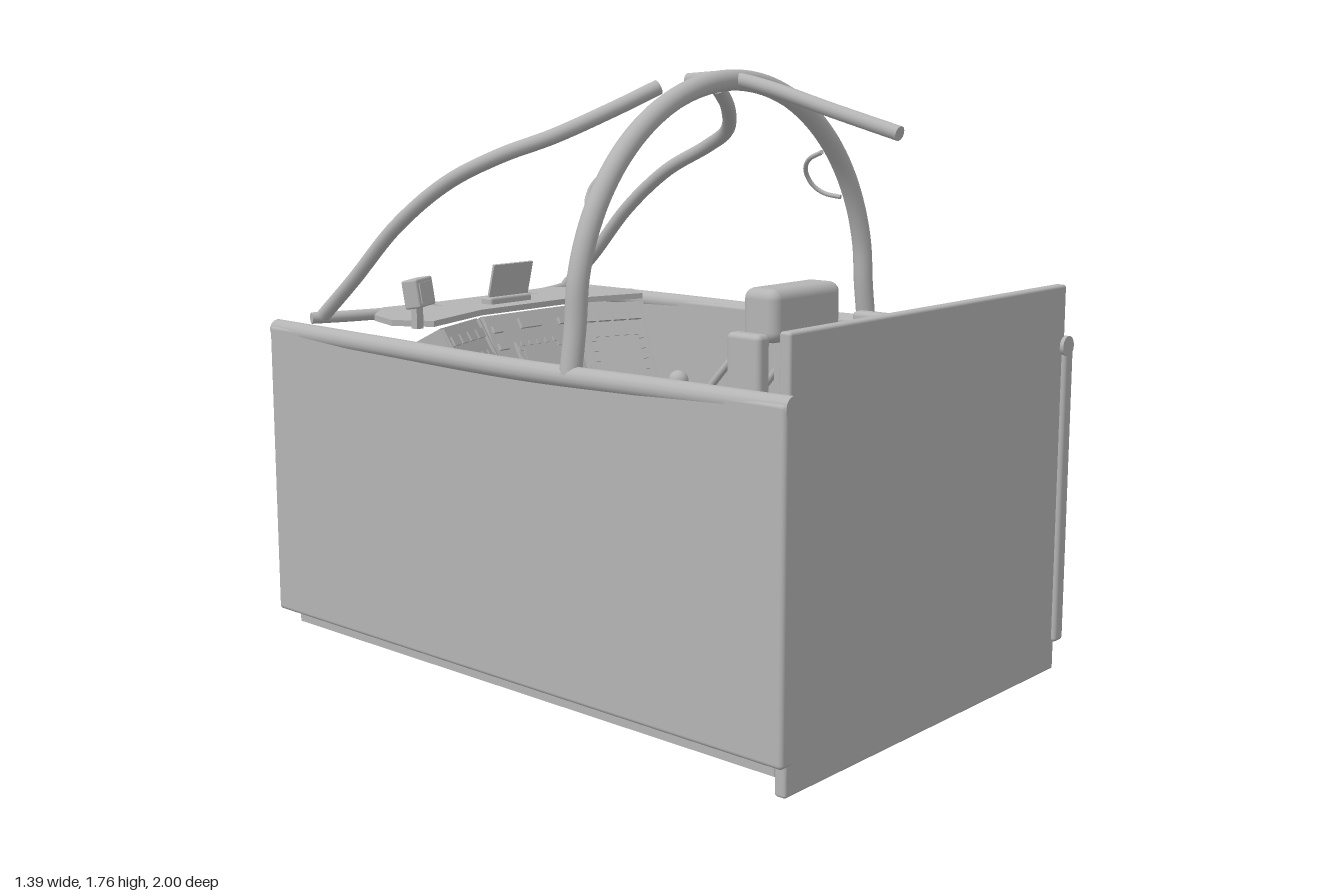
import * as THREE from 'three';
import { RoundedBoxGeometry } from 'three/addons/geometries/RoundedBoxGeometry.js';

export function createModel() {
  const model = new THREE.Group();
  const grey = new THREE.MeshStandardMaterial({ color: 0xb4b4b4 });
  grey.name = 'plain grey';

  const add = (name, geo, x = 0, y = 0, z = 0, parent = model) => {
    const mesh = new THREE.Mesh(geo, grey);
    mesh.name = name;
    mesh.position.set(x, y, z);
    parent.add(mesh);
    return mesh;
  };
  const box = (name, w, h, d, x, y, z, parent) =>
    add(name, new THREE.BoxGeometry(w, h, d), x, y, z, parent);
  const soft = (name, w, h, d, r, x, y, z, parent) =>
    add(name, new RoundedBoxGeometry(w, h, d, 3, r), x, y, z, parent);

  // Round bar along a smooth path, with closed ends
  const bar = (name, points, r, segments = 48) => {
    const path = new THREE.CatmullRomCurve3(points.map(p => new THREE.Vector3(...p)));
    const tube = add(name, new THREE.TubeGeometry(path, segments, r, 14), 0, 0, 0);
    for (const t of [0, 1]) {
      const cap = add(name + 'Cap', new THREE.CircleGeometry(r, 14), 0, 0, 0, tube);
      const dir = path.getTangentAt(t).multiplyScalar(t ? 1 : -1);
      cap.position.copy(path.getPointAt(t));
      cap.quaternion.setFromUnitVectors(new THREE.Vector3(0, 0, 1), dir);
    }
    return tube;
  };

  // Tub: floor, front board and side walls with bowed rails
  box('floor', 1.29, 0.035, 1.89, 0, 0.065, 0.005);
  soft('frontBoard', 1.3, 1.15, 0.035, 0.008, 0, 0.575, 0.97);
  for (const s of [1, -1]) {
    soft('sideWall', 0.05, 0.9, 2, 0.012, s * 0.658, 0.535, 0);
    bar('wallRail', [[s * 0.65, 0.972, 1], [s * 0.658, 0.97, 0.6], [s * 0.668, 0.966, 0.1],
      [s * 0.662, 0.97, -0.5], [s * 0.65, 0.972, -1]], 0.03);
  }

  // Roll bar
  const arch = [[0.665, 0.97, 0.28]];
  for (let i = 0; i <= 16; i++) {
    const a = (i / 16) * Math.PI;
    arch.push([0.645 * Math.cos(a), 1.1 + 0.63 * Math.sin(a), 0.28]);
  }
  arch.push([-0.665, 0.97, 0.28]);
  bar('rollBar', arch, 0.03, 80);

  // Canopy bars
  bar('spineBar', [[0, 1.592, 0.84], [0, 1.65, 0.62], [0, 1.71, 0.4], [0, 1.735, 0.26], [0, 1.73, 0.11]], 0.02);
  bar('rearBar', [[-0.56, 1.0, -0.95], [-0.44, 1.0, -0.9], [-0.22, 1.0, -0.845], [0, 1.0, -0.825],
    [0.22, 1.0, -0.845], [0.44, 1.0, -0.9], [0.56, 1.0, -0.95]], 0.018);
  for (const s of [1, -1]) {
    bar('canopyBar', [[s * 0.13, 1.71, 0.11], [s * 0.25, 1.65, 0.05], [s * 0.38, 1.575, -0.06],
      [s * 0.45, 1.52, -0.2], [s * 0.48, 1.435, -0.4], [s * 0.505, 1.3, -0.6],
      [s * 0.525, 1.13, -0.78], [s * 0.535, 1.01, -0.92]], 0.022, 64);
    bar('grabHandle', [[s * 0.53, 1.375, 0.27], [s * 0.52, 1.385, 0.215], [s * 0.5, 1.41, 0.185],
      [s * 0.47, 1.455, 0.18], [s * 0.445, 1.49, 0.21], [s * 0.43, 1.515, 0.27]], 0.007);
  }

  // Reclined seat
  soft('seatCushion', 0.5, 0.12, 0.5, 0.03, 0, 0.52, 0.25);
  box('seatBase', 0.36, 0.38, 0.36, 0, 0.27, 0.34);
  soft('seatBack', 0.5, 0.08, 0.83, 0.03, 0, 0.77, 0.525).rotation.x = -0.44;
  soft('headrest', 0.31, 0.15, 0.12, 0.03, 0, 1.095, 0.495);
  box('headrestPost', 0.16, 0.32, 0.05, 0, 0.9, 0.52);
  for (const s of [1, -1]) {
    soft('seatSidePlate', 0.05, 0.45, 0.115, 0.015, s * 0.285, 0.845, 0.567);
    bar('harnessStrap', [[s * 0.12, 1.03, 0.45], [s * 0.14, 0.95, 0.38], [s * 0.14, 0.83, 0.28],
      [s * 0.11, 0.7, 0.19], [s * 0.06, 0.6, 0.13]], 0.011);
  }

  // Control stick on a domed boot
  add('stickBoot', new THREE.SphereGeometry(0.06, 20, 10, 0, Math.PI * 2, 0, Math.PI / 2), 0, 0.08, -0.01);
  add('stickShaft', new THREE.CylinderGeometry(0.012, 0.016, 0.46, 14), 0, 0.31, -0.03);
  soft('stickGrip', 0.04, 0.12, 0.045, 0.018, 0, 0.56, -0.045);
  add('stickButton', new THREE.CylinderGeometry(0.01, 0.01, 0.02, 12), 0, 0.625, -0.05);

  // Side consoles with ball levers and button pads
  const pad = (cx, cz, cols, rows, dx, dz) => {
    for (let i = 0; i < cols; i++) for (let j = 0; j < rows; j++) {
      const x = cx + (i - (cols - 1) / 2) * dx, z = cz + (j - (rows - 1) / 2) * dz;
      box('consoleKey', 0.03, 0.014, 0.034, x, 0.625, z);
      box('consoleKeyCap', 0.012, 0.01, 0.012, x, 0.635, z);
    }
  };
  for (const s of [1, -1]) {
    box('sideConsole', 0.305, 0.115, 1.08, s * 0.47, 0.5625, 0.08);
    add('leverStem', new THREE.CylinderGeometry(0.01, 0.01, 0.12, 12), s * 0.525, 0.67, -0.385);
    add('leverBall', new THREE.SphereGeometry(0.034, 20, 14), s * 0.525, 0.73, -0.385);
  }
  pad(0.455, -0.1, 4, 3, 0.053, 0.073);
  pad(-0.46, 0.27, 4, 2, 0.053, 0.08);
  box('throttleArm', 0.03, 0.14, 0.03, -0.4, 0.69, 0.21);
  soft('throttleGrip', 0.11, 0.05, 0.055, 0.015, -0.395, 0.77, 0.21);

  // Pedestal under the instruments
  soft('pedestal', 0.33, 0.53, 0.28, 0.008, 0, 0.345, -0.6);

  // Instrument panel: a middle bay and two wings turned to the seat
  const bay = (name, w, x, z, yaw) => {
    const g = new THREE.Group();
    g.name = name;
    g.position.set(x, 0.85, z);
    g.rotation.set(-0.5, yaw, 0, 'YXZ');
    model.add(g);
    box('bayBody', w, 0.34, 0.1, 0, 0, -0.05, g);
    for (const s of [1, -1]) box('bayEdge', 0.008, 0.33, 0.012, s * (w / 2 - 0.006), 0, 0.004, g);
    return g;
  };
  const screen = (g, x, y, w, h) => {
    box('screenFrame', w, h, 0.012, x, y, 0.005, g);
    box('screenFace', w * 0.78, h * 0.75, 0.004, x, y, 0.012, g);
    for (let i = 0; i < 5; i++) for (const s of [1, -1]) {
      const t = (i / 4 - 0.5) * 0.75;
      box('screenKey', w * 0.08, h * 0.08, 0.012, x + s * w * 0.45, y + t * h, 0.01, g);
      box('screenKey', w * 0.08, h * 0.08, 0.012, x + t * w, y + s * h * 0.45, 0.01, g);
    }
  };
  const middle = bay('middleBay', 0.38, 0, -0.5, 0);
  screen(middle, 0, -0.03, 0.19, 0.2);
  box('displayStrip', 0.09, 0.035, 0.012, 0, 0.13, 0.005, middle);
  for (const s of [1, -1]) {
    for (let i = 0; i < 5; i++) box('panelSwitch', 0.04, 0.022, 0.012, s * 0.145, 0.12 - i * 0.058, 0.006, middle);
    const wing = bay('wingBay', 0.25, s * 0.3, -0.45, -s * 0.38);
    screen(wing, 0, -0.03, 0.19, 0.19);
    for (let i = 0; i < 4; i++) box('panelSwitch', 0.045, 0.03, 0.012, (i - 1.5) * 0.055, 0.12, 0.006, wing);
    for (let i = 0; i < 6; i++) box('wingKnob', 0.012, 0.016, 0.02, (i - 2.5) * 0.038, -0.155, 0.008, wing);
  }

  // Glare shield with notched rear edge
  const half = [[0.19, 0.575], [0.46, 0.49], [0.53, 0.6], [0.49, 0.73], [0.36, 0.85], [0.235, 0.84], [0.21, 0.73], [0.185, 0.83]];
  const outline = [...half, ...half.slice().reverse().map(([x, z]) => [-x, z])];
  const shield = add('glareShield', new THREE.ExtrudeGeometry(
    new THREE.Shape(outline.map(p => new THREE.Vector2(...p))), { depth: 0.018, bevelEnabled: false }), 0, 1.005, 0);
  shield.rotation.x = -Math.PI / 2;

  // Sighting glass on the shield
  soft('sightBase', 0.18, 0.03, 0.05, 0.008, 0, 1.03, -0.665);
  box('sightGlass', 0.17, 0.115, 0.008, 0, 1.095, -0.645).rotation.x = 0.25;

  // Small swivelled display on the right
  const display = soft('sideDisplay', 0.115, 0.085, 0.05, 0.006, -0.5, 1.11, -0.51);
  display.rotation.set(-0.15, 0.45, 0, 'YXZ');
  box('sideDisplayFace', 0.09, 0.06, 0.006, 0, 0, 0.025, display);
  box('sideDisplayStem', 0.025, 0.08, 0.025, -0.49, 1.04, -0.53);

  return model;
}
